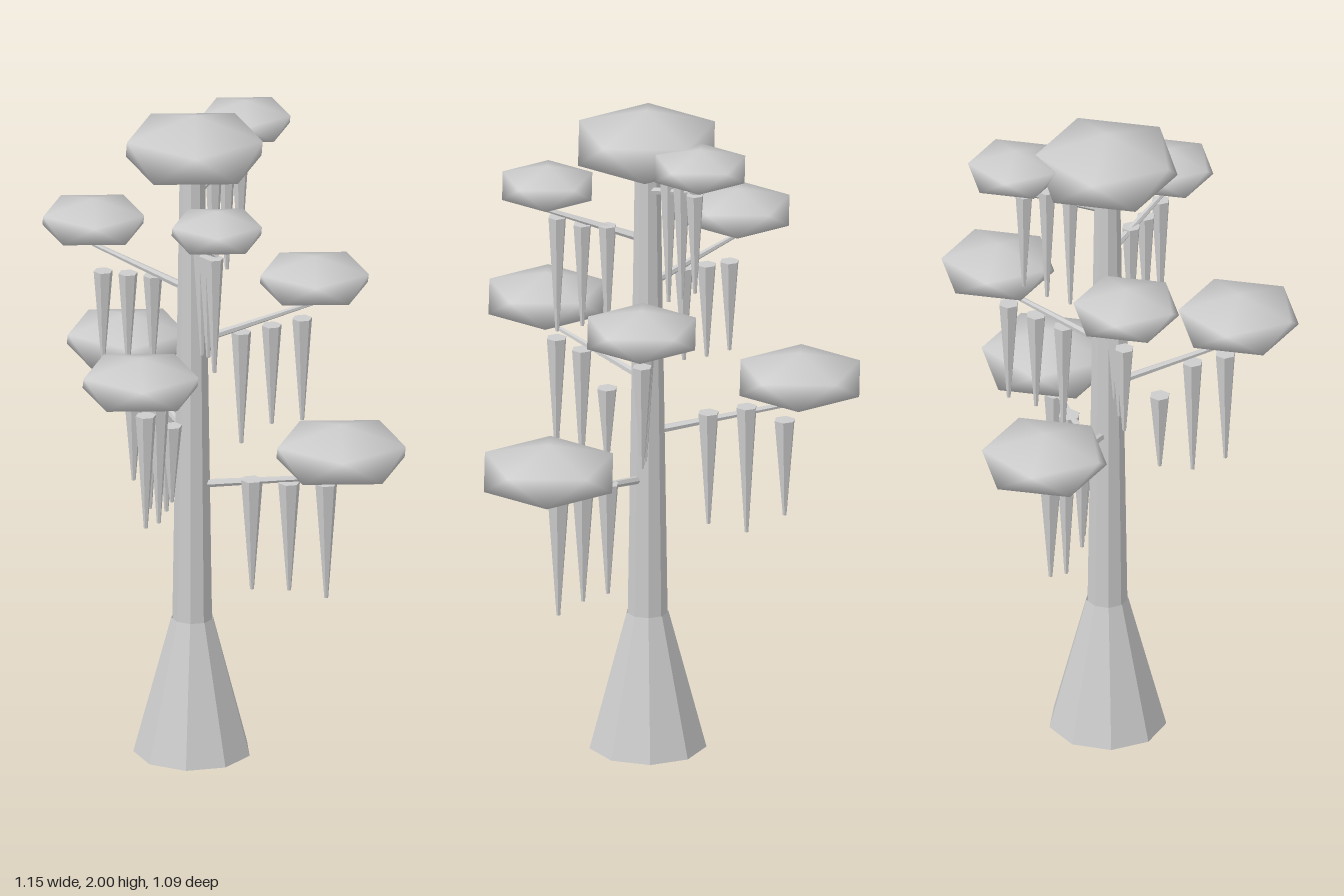
import * as THREE from 'three';
import { mergeVertices } from 'three/addons/utils/BufferGeometryUtils.js';

const AXIS_X = -0.085, AXIS_Z = -0.035;

// Faceted copy of a geometry
function faceted(geometry) {
  const g = geometry.toNonIndexed();
  g.computeVertexNormals();
  return g;
}

// Smooth twelve-point ball standing on one vertex, squashed in y
function clumpGeometry(radius, halfHeight) {
  let g = new THREE.IcosahedronGeometry(1, 0);
  g.rotateZ(-Math.atan(2 / (1 + Math.sqrt(5))));
  g.deleteAttribute('normal');
  g.deleteAttribute('uv');
  g = mergeVertices(g, 1e-3);
  g.computeVertexNormals();
  g.scale(radius, halfHeight, radius);
  return g;
}

export function createModel() {
  const tree = new THREE.Group();
  tree.name = 'tree';
  const grey = new THREE.MeshStandardMaterial({ color: 0xcccccc, side: THREE.DoubleSide });
  grey.name = 'pale grey';

  const add = (parent, name, geometry, x, y, z) => {
    const mesh = new THREE.Mesh(geometry, grey);
    mesh.name = name;
    mesh.position.set(x, y, z);
    parent.add(mesh);
    return mesh;
  };

  // Nine-sided trunk and its flared foot, open underneath
  const tube = (top, bottom, height) =>
    faceted(new THREE.CylinderGeometry(top, bottom, height, 9, 1, true, Math.PI / 2));
  add(tree, 'trunkFlare', tube(0.063, 0.175, 0.42), AXIS_X, 0.21, AXIS_Z);
  add(tree, 'trunk', tube(0.038, 0.06, 1.45), AXIS_X, 1.125, AXIS_Z);

  // Crown at the top of the trunk
  add(tree, 'crown', clumpGeometry(0.235, 0.105), -0.08, 1.895, AXIS_Z);

  // Boughs: clump centre, radius, half height, then [top, bottom] of each hanging pod
  const boughs = [
    { at: [0.375, 0.993, -0.02], r: 0.222, h: 0.088, pods: [[0.875, 0.53], [0.88, 0.54], [0.89, 0.53]] },
    { at: [-0.385, 1.14, -0.37], r: 0.207, h: 0.08, pods: [[1.04, 0.69], [1.055, 0.66], [1.01, 0.71]] },
    { at: [-0.125, 1.302, 0.37], r: 0.199, h: 0.078, pods: [[1.08, 0.84], [1.175, 0.81], [1.185, 0.83]] },
    { at: [0.225, 1.44, -0.25], r: 0.187, h: 0.071, pods: [[1.3, 0.95], [1.31, 1.0], [1.32, 1.0]] },
    { at: [-0.415, 1.603, -0.12], r: 0.175, h: 0.068, pods: [[1.47, 1.18], [1.46, 1.17], [1.45, 1.17]] },
    { at: [0.065, 1.745, 0.222], r: 0.155, h: 0.064, pods: [[1.63, 1.29], [1.63, 1.31], [1.65, 1.29]] },
    { at: [0, 1.9, -0.295], r: 0.155, h: 0.061, pods: [[1.82, 1.43], [1.82, 1.46], [1.81, 1.5]] },
  ];
  const up = new THREE.Vector3(0, 1, 0);

  boughs.forEach(({ at: [x, y, z], r, h, pods }, i) => {
    const bough = new THREE.Group();
    bough.name = 'bough' + (i + 1);
    tree.add(bough);
    add(bough, 'leafClump', clumpGeometry(r, h), x, y, z);

    // Thin branch rising from the trunk axis to the underside of the clump
    const start = new THREE.Vector3(AXIS_X, y - 0.155, AXIS_Z);
    const end = new THREE.Vector3(x, y - 0.075, z);
    const dir = end.clone().sub(start);
    const middle = start.clone().lerp(end, 0.5);
    const branch = add(bough, 'branch',
      faceted(new THREE.CylinderGeometry(0.007, 0.013, dir.length(), 6)), ...middle.toArray());
    branch.quaternion.setFromUnitVectors(up, dir.normalize());

    // Tapered pods hanging along the branch
    const podRadius = 0.033 - i * 0.001;
    pods.forEach(([top, bottom], k) => {
      const p = start.clone().lerp(end, 0.4 + 0.25 * k);
      add(bough, 'hangingPod',
        faceted(new THREE.CylinderGeometry(podRadius, 0.006, top - bottom, 6)),
        p.x, (top + bottom) / 2, p.z);
    });
  });

  return tree;
}
